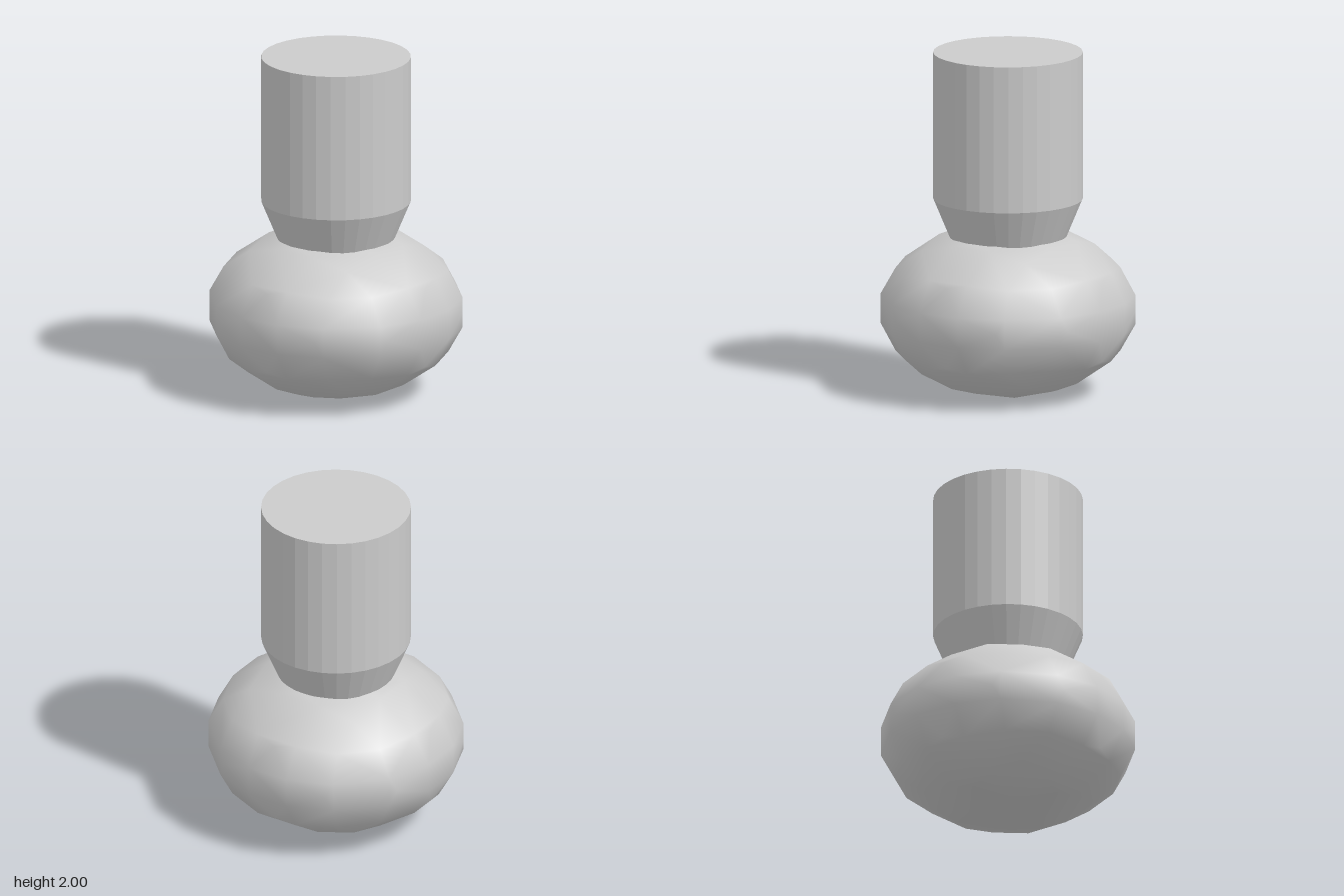
import * as THREE from 'three';
import { ConvexGeometry } from 'three/addons/geometries/ConvexGeometry.js';
import { mergeVertices } from 'three/addons/utils/BufferGeometryUtils.js';

// All axis permutations and sign flips of one point
function symmetricPoints(a, b, c) {
  const found = new Map();
  for (const p of [[a, b, c], [a, c, b], [b, a, c], [b, c, a], [c, a, b], [c, b, a]]) {
    for (let s = 0; s < 8; s++) {
      const v = new THREE.Vector3(
        p[0] * (s & 1 ? -1 : 1), p[1] * (s & 2 ? -1 : 1), p[2] * (s & 4 ? -1 : 1));
      found.set(v.toArray().map((n) => (n + 0).toFixed(3).replace('-0.000', '0.000')).join(), v);
    }
  }
  return [...found.values()];
}

export function createModel() {
  const group = new THREE.Group();
  const smooth = new THREE.MeshStandardMaterial({ color: 0xcccccc });
  const faceted = new THREE.MeshStandardMaterial({ color: 0xcccccc, flatShading: true });

  const add = (name, geometry, material, y) => {
    const mesh = new THREE.Mesh(geometry, material);
    mesh.name = name;
    mesh.position.y = y;
    group.add(mesh);
  };

  // Squashed coarse ball: flat spots on the axes, chamfered between them
  const points = [
    ...symmetricPoints(0.13, 0.13, 0.722),
    ...symmetricPoints(0.13, 0.388, 0.623),
    ...symmetricPoints(0, 0.348, 0.65),
    ...symmetricPoints(0.36, 0.36, 0.54),
  ];
  let ball = new ConvexGeometry(points);
  ball.deleteAttribute('normal');
  ball = mergeVertices(ball, 1e-4);
  ball.scale(1, 0.673, 1);
  ball.computeVertexNormals();
  add('bulb', ball, smooth, 0.486);

  // Tapered collar sunk slightly into the ball
  add('collar', new THREE.CylinderGeometry(0.432, 0.324, 0.26, 32, 1, true), faceted, 1.01);

  // Straight capped neck
  const neck = new THREE.CylinderGeometry(0.432, 0.432, 0.86, 32);
  add('neck', neck, faceted, 1.57);

  return group;
}
